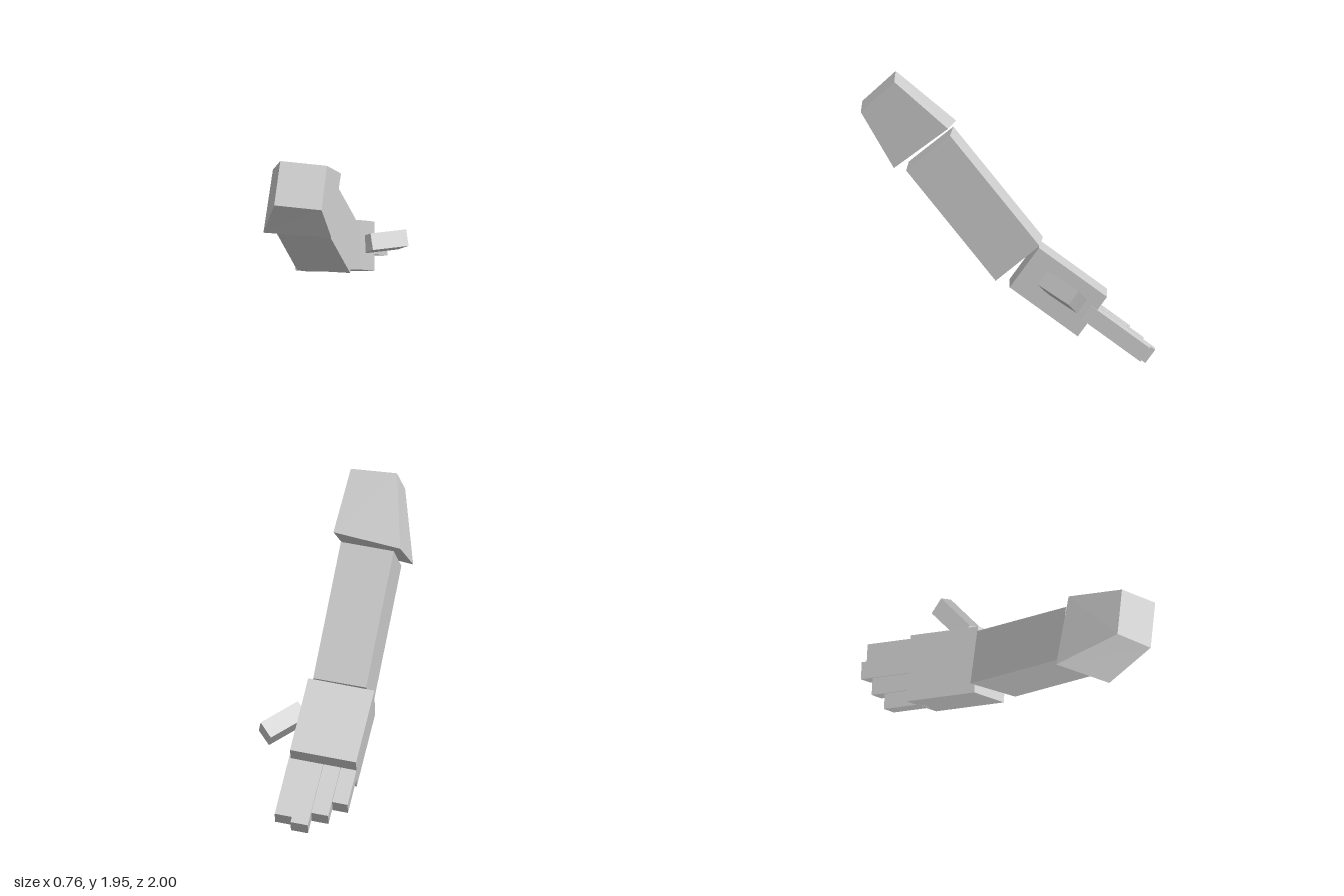
import * as THREE from 'three';

// Block spanned between two four-cornered sections (back-left, back-right, front-right, front-left)
function block(name, material, start, end) {
  let geo = new THREE.BoxGeometry(1, 1, 1);
  const pos = geo.attributes.position;
  for (let i = 0; i < pos.count; i++) {
    const section = pos.getY(i) > 0 ? start : end;
    const right = pos.getX(i) > 0, front = pos.getZ(i) > 0;
    pos.setXYZ(i, ...section[front ? (right ? 2 : 3) : (right ? 1 : 0)]);
  }
  geo = geo.toNonIndexed();
  geo.computeVertexNormals();
  const mesh = new THREE.Mesh(geo, material);
  mesh.name = name;
  return mesh;
}

const move = (p, ...steps) => steps.reduce((a, s) => a.map((v, i) => v + s[i]), p);
const shift = (section, d) => section.map((p) => move(p, d));

export function createModel() {
  const group = new THREE.Group();
  group.name = 'arm';
  const grey = new THREE.MeshStandardMaterial({ color: 0xcccccc, flatShading: true });
  grey.name = 'light grey';

  // Tapered sleeve around the elbow
  group.add(block('upperArm', grey,
    [[-0.25, 1.95, 0.77], [0.07, 1.95, 0.76], [0.08, 1.74, 0.985], [-0.245, 1.74, 0.995]],
    [[-0.385, 1.58, 0.37], [0.09, 1.635, 0.395], [0.10, 1.36, 0.76], [-0.375, 1.31, 0.73]]));

  // Straight forearm
  const elbow = [[-0.335, 1.55, 0.385], [0.035, 1.575, 0.385], [0.06, 1.335, 0.68], [-0.305, 1.31, 0.685]];
  group.add(block('forearm', grey, elbow, shift(elbow, [0.025, -0.75, -0.607])));

  // Palm
  const wrist = [[-0.36, 0.77, -0.19], [0.095, 0.82, -0.22], [0.135, 0.553, -0.025], [-0.31, 0.503, 0.005]];
  group.add(block('palm', grey, wrist, shift(wrist, [0, -0.333, -0.46])));

  // Fingers, each given by the upper right corner of its tip and its width
  const thick = [0.016, -0.089, 0.066];
  const fingers = [
    ['indexFinger', [0.12, 0.14, -0.975], 0.118],
    ['middleFinger', [0.002, 0.103, -1.0], 0.118],
    ['ringFinger', [-0.119, 0.148, -0.912], 0.116],
    ['littleFinger', [-0.238, 0.2, -0.814], 0.106],
  ];
  for (const [name, corner, width] of fingers) {
    const across = [-width, -0.11 * width, 0.07 * width];
    const tip = [move(corner, across), corner, move(corner, thick), move(corner, across, thick)];
    const length = -0.503 - (corner[2] + thick[2]);
    group.add(block(name, grey, shift(tip, [0, 0.724 * length, length]), tip));
  }

  // Thumb
  const thumbTip = [[0.35, 0.584, -0.503], [0.38, 0.495, -0.44], [0.295, 0.418, -0.49], [0.263, 0.506, -0.557]];
  group.add(block('thumb', grey, shift(thumbTip, [-0.2, 0.088, 0.218]), thumbTip));

  return group;
}
